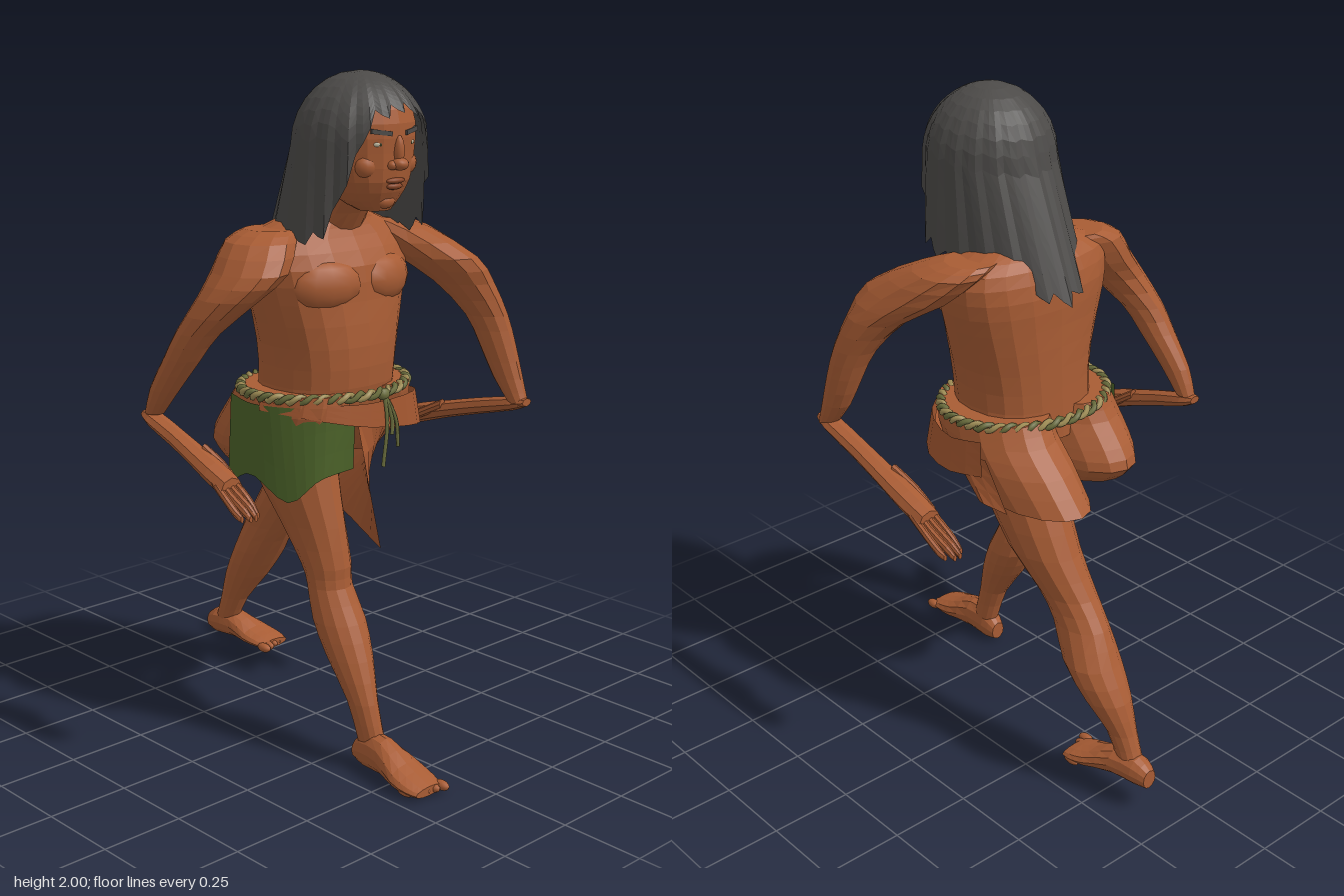
import * as THREE from 'three';

const mat = (name, color, side = THREE.FrontSide) => {
  const m = new THREE.MeshStandardMaterial({ color, side });
  m.name = name;
  return m;
};

export function createModel() {
  const model = new THREE.Group();
  const skin = mat('skin', 0xa85c34);
  const lips = mat('lips', 0x8a4728);
  const hairMat = mat('hair', 0x4c4a48, THREE.DoubleSide);
  const hide = mat('hide cloth', 0xa35730, THREE.DoubleSide);
  const green = mat('green cloth', 0x4c6329, THREE.DoubleSide);
  const rope = mat('rope', 0x6c6f3e);
  const straw = mat('straw', 0xa39158);
  const eyeWhite = mat('eye white', 0xb9b299);
  const iris = mat('iris', 0x34381f);

  const add = (name, geo, material, parent = model) => {
    const mesh = new THREE.Mesh(geo, material);
    mesh.name = name;
    parent.add(mesh);
    return mesh;
  };
  const faceted = (pos, idx) => {
    const g = new THREE.BufferGeometry();
    g.setAttribute('position', new THREE.Float32BufferAttribute(pos, 3));
    g.setIndex(idx);
    const flat = g.toNonIndexed();
    flat.computeVertexNormals();
    return flat;
  };

  // Closed body through elliptical sections [x, y, z, radiusX, radiusOther], along y or z
  const loft = (sections, { axis = 'y', n = 14, pow = 1, sub = 2 } = {}) => {
    const k = axis === 'y' ? 1 : 2;
    const s = sections[0][k] > sections.at(-1)[k] ? [...sections].reverse() : sections;
    const centre = new THREE.CatmullRomCurve3(s.map(p => new THREE.Vector3(p[0], p[1], p[2])), false, 'catmullrom', 0.5);
    const radius = new THREE.CatmullRomCurve3(s.map(p => new THREE.Vector3(p[3], p[4], 0)), false, 'catmullrom', 0.5);
    const rows = (s.length - 1) * sub, pos = [], idx = [];
    const bend = v => Math.sign(v) * Math.abs(v) ** pow;
    for (let i = 0; i <= rows; i++) {
      const c = centre.getPoint(i / rows), r = radius.getPoint(i / rows);
      for (let j = 0; j < n; j++) {
        const a = j / n * Math.PI * 2, co = bend(Math.cos(a)), si = bend(Math.sin(a));
        if (axis === 'y') pos.push(c.x + r.x * si, c.y, c.z + r.y * co);
        else pos.push(c.x + r.x * co, c.y + r.y * si, c.z);
      }
    }
    for (let i = 0; i < rows; i++) for (let j = 0; j < n; j++) {
      const a = i * n + j, b = i * n + (j + 1) % n;
      idx.push(a, b, b + n, a, b + n, a + n);
    }
    const c0 = pos.length / 3, last = rows * n;
    pos.push(...centre.getPoint(0).toArray(), ...centre.getPoint(1).toArray());
    for (let j = 0; j < n; j++) {
      const j2 = (j + 1) % n;
      idx.push(c0, j2, j, c0 + 1, last + j, last + j2);
    }
    return faceted(pos, idx);
  };

  // Open surface from a rule f(u, v) -> [x, y, z]
  const sheet = (f, nu, nv) => {
    const pos = [], idx = [], w = nv + 1;
    for (let i = 0; i <= nu; i++) for (let j = 0; j <= nv; j++) pos.push(...f(i / nu, j / nv));
    for (let i = 0; i < nu; i++) for (let j = 0; j < nv; j++) {
      const a = i * w + j;
      idx.push(a, a + 1, a + w + 1, a, a + w + 1, a + w);
    }
    return faceted(pos, idx);
  };
  // Hanging cloth between a top edge and a bottom edge
  const drape = (top, bottom) => {
    const curve = pts => new THREE.CatmullRomCurve3(pts.map(p => new THREE.Vector3(...p)), false, 'catmullrom', 0.5);
    const a = curve(top), b = curve(bottom);
    return sheet((u, v) => a.getPoint(u).lerp(b.getPoint(u), v).toArray(), 14, 3);
  };
  const ball = (name, [x, y, z], [rx, ry, rz], material, parent = model) => {
    const m = add(name, new THREE.SphereGeometry(1, 12, 8), material, parent);
    m.position.set(x, y, z);
    m.scale.set(rx, ry, rz);
    return m;
  };

  // Torso and neck
  add('torso', loft([[0, 1, .03, .22, .17], [0, 1.1, .045, .2, .18], [0, 1.22, .05, .213, .18], [0, 1.35, .045, .25, .172],
    [0, 1.45, .04, .275, .165], [0, 1.53, .03, .265, .13], [0, 1.575, .04, .17, .1], [0, 1.6, .06, .1, .085]],
    { n: 20, pow: .85 }), skin);
  add('neck', loft([[0, 1.5, .04, .1, .08], [0, 1.6, .1, .085, .085], [0, 1.69, .16, .085, .09]]), skin);
  for (const s of [-1, 1]) {
    const chest = ball('chestMuscle', [s * .115, 1.4, .165], [.115, .075, .055], skin);
    chest.rotation.y = s * .25;
  }

  // Head and face
  const head = new THREE.Group();
  head.name = 'head';
  model.add(head);
  add('skull', loft([[0, 1.615, .24, .045, .045], [0, 1.645, .22, .085, .08], [0, 1.7, .205, .12, .122], [0, 1.78, .2, .137, .135],
    [0, 1.86, .19, .142, .148], [0, 1.93, .18, .12, .13], [0, 1.97, .18, .06, .07]], { n: 18, pow: .9 }), skin, head);
  ball('noseBridge', [0, 1.785, .335], [.016, .045, .018], skin, head);
  ball('noseTip', [0, 1.75, .342], [.026, .018, .024], skin, head);
  ball('upperLip', [0, 1.703, .324], [.036, .009, .013], lips, head);
  ball('lowerLip', [0, 1.687, .32], [.03, .01, .013], lips, head);
  ball('chin', [0, 1.643, .285], [.035, .022, .02], skin, head);
  for (const s of [-1, 1]) {
    ball('nostril', [s * .022, 1.747, .333], [.015, .013, .015], skin, head);
    ball('eyeWhite', [s * .056, 1.806, .314], [.024, .011, .012], eyeWhite, head);
    ball('iris', [s * .055, 1.806, .322], [.01, .01, .006], iris, head);
    const brow = add('brow', new THREE.BoxGeometry(.065, .013, .009), hairMat, head);
    brow.position.set(s * .058, 1.838, .326);
    brow.rotation.set(0, s * .3, s * .14);
    ball('ear', [s * .148, 1.755, .19], [.018, .04, .028], skin, head);
    ball('cheek', [s * .075, 1.745, .285], [.04, .035, .03], skin, head);
  }

  // Long hair with strand ridges, short fringe and jagged ends
  const strands = 60;
  const hairEnd = c => c < .6 ? 1.89 - c * .04
    : c < 1.25 ? THREE.MathUtils.lerp(1.866, 1.55, (c - .6) / .65)
      : THREE.MathUtils.lerp(1.55, 1.42, (c - 1.25) / 1.89);
  add('hair', sheet((u, v) => {
    const a = (u - .5) * Math.PI * 2, k = Math.round(u * strands);
    const end = hairEnd(Math.abs(a)) + [0, .03, .012][k % 3];
    const y = 2 - (2 - end) * v ** 1.7, drop = Math.max(0, 1.8 - y);
    const r = (y > 1.8 ? Math.sqrt(Math.max(0, 1 - ((y - 1.8) / .2) ** 2)) : 1) * (1 + [.025, -.02, .005][k % 3] * v);
    const co = Math.cos(a);
    return [Math.sin(a) * (.19 * r + drop * .05), y, .18 + .195 * co * r - Math.max(0, -co) * drop * .4];
  }, strands, 12), hairMat);

  // Arms: shoulder to wrist, swung forward on the left and back on the right
  add('leftArm', loft([[.455, 1, .41, .028, .03], [.452, 1.08, .365, .04, .05], [.44, 1.18, .33, .052, .06], [.42, 1.27, .3, .062, .07],
    [.37, 1.37, .25, .085, .1], [.31, 1.45, .18, .1, .155], [.25, 1.53, .07, .1, .12], [.2, 1.56, .03, .08, .08]], { n: 12 }), skin);
  add('rightArm', loft([[-.455, 1.02, -.2, .028, .03], [-.455, 1.1, -.15, .04, .05], [-.443, 1.2, -.08, .052, .06], [-.425, 1.28, -.03, .062, .07],
    [-.37, 1.38, .04, .085, .1], [-.31, 1.45, .06, .1, .125], [-.25, 1.53, .04, .1, .11], [-.2, 1.56, .03, .08, .08]], { n: 12 }), skin);

  // Stretched hands, each running from wrist height back along z
  const hand = (name, s, z0, length) => {
    const g = new THREE.Group();
    g.name = name;
    model.add(g);
    const at = (x, y, t, rx, ry) => [s * x, y, z0 + length * t, rx, ry];
    const z = { axis: 'z', n: 8 };
    add('palm', loft([at(.455, 1.012, 0, .02, .012), at(.455, 1, .08, .034, .022), at(.46, .965, .3, .034, .026), at(.465, .93, .5, .038, .028),
      at(.468, .9, .66, .042, .032), at(.468, .872, .8, .038, .03)], z), skin, g);
    for (let i = 0; i < 4; i++) {
      const x = .44 + i * .019, end = 1 - Math.abs(i - 1.5) * .03;
      add('finger', loft([at(x, .885, .72, .011, .014), at(x + .006, .86 - i * .004, .84, .011, .014),
        at(x + .004, .83 - i * .004, end - .04, .01, .014), at(x, .805, end, .006, .01)], z), skin, g);
    }
    add('thumb', loft([at(.44, .95, .5, .012, .016), at(.425, .91, .62, .012, .016), at(.422, .87, .74, .008, .012)], z), skin, g);
  };
  hand('leftHand', 1, .44, -.66);
  hand('rightHand', -1, -.24, .5);

  // Hips, flaring out behind above the thighs
  add('leftHip', loft([[.12, 1.09, .035, .135, .2], [.13, 1.03, .01, .14, .215], [.132, .96, -.05, .14, .23], [.13, .865, -.13, .13, .23]], { n: 16 }), skin);
  add('rightHip', loft([[-.12, 1.09, .035, .135, .2], [-.13, 1.03, .02, .14, .215], [-.132, .96, -.02, .14, .23], [-.13, .9, -.05, .135, .23],
    [-.13, .85, -.04, .115, .19]], { n: 16 }), skin);

  // Legs in a wide stride
  add('rightLeg', loft([[-.135, .08, .385, .035, .045], [-.14, .2, .35, .042, .05], [-.13, .32, .285, .066, .074], [-.125, .42, .235, .077, .08],
    [-.13, .52, .2, .068, .065], [-.13, .58, .185, .072, .078], [-.135, .7, .13, .085, .112], [-.14, .85, .06, .11, .15], [-.13, .95, .03, .12, .17]]), skin);
  add('leftLeg', loft([[.12, .13, -.57, .036, .042], [.12, .22, -.53, .042, .05], [.13, .32, -.475, .07, .075], [.135, .42, -.415, .086, .086],
    [.125, .52, -.355, .071, .095], [.125, .6, -.295, .075, .1], [.14, .72, -.21, .095, .122], [.14, .86, -.13, .11, .14], [.13, .95, -.06, .12, .16]]), skin);

  // Feet and toes
  const foot = (name, sections, toeX, toeY, toeZ, s) => {
    add(name, loft(sections, { axis: 'z', n: 12 }), skin);
    for (let i = 0; i < 5; i++)
      ball('toe', [toeX - s * (i - 2) * -.026, toeY - i * .001, toeZ - i * .011], [.016 - i * .0015, .015 - i * .001, .028], skin);
  };
  foot('rightFoot', [[-.135, .04, .325, .025, .03], [-.137, .055, .37, .04, .055], [-.142, .058, .45, .048, .055], [-.15, .036, .54, .068, .034],
    [-.153, .025, .6, .066, .022], [-.153, .02, .635, .055, .014]], -.153, .02, .632, -1);
  foot('leftFoot', [[.12, .105, -.65, .025, .03], [.12, .115, -.605, .042, .045], [.13, .118, -.53, .048, .045], [.145, .098, -.45, .064, .028],
    [.152, .09, -.4, .064, .02], [.154, .085, -.37, .055, .014]], .154, .085, -.362, 1);

  // Hide skirt: long front flap sweeping back to the left hip, with a folded band above
  add('skirt', drape(
    [[-.08, 1.05, .25], [.06, 1.05, .255], [.16, 1.04, .235], [.25, 1.02, .15], [.285, .99, .03], [.27, 1, -.1]],
    [[-.07, .65, .35], [0, .68, .16], [.05, .71, .03], [.16, .79, -.04], [.295, .875, -.1], [.275, .865, -.2]]), hide);
  add('skirtBand', drape(
    [[-.275, 1.07, .06], [-.2, 1.07, .2], [-.05, 1.06, .262], [.12, 1.06, .256], [.24, 1.05, .18], [.285, 1.03, .05], [.27, 1.05, -.08]],
    [[-.28, 1.045, .06], [-.21, 1.03, .2], [-.06, .995, .268], [.13, .965, .262], [.265, .94, .18], [.305, .93, .04], [.285, .95, -.1]]), hide);

  // Green side cloth
  add('sideCloth', drape(
    [[-.08, 1.06, .253], [-.18, 1.06, .215], [-.255, 1.06, .12], [-.28, 1.06, .02], [-.265, 1.07, -.08]],
    [[-.08, .87, .245], [-.19, .85, .22], [-.25, .78, .15], [-.288, .85, .03], [-.28, .79, -.08]]), green);

  // Braided belt of two twisted strands, with hanging cord ends
  [rope, straw].forEach((material, k) => {
    const pts = [];
    for (let i = 0; i < 180; i++) {
      const a = i / 180 * Math.PI * 2, w = a * 22 + k * Math.PI, r = .009 * Math.cos(w);
      pts.push(new THREE.Vector3(Math.sin(a) * (.268 + r), 1.082 + .009 * Math.sin(w), .035 + Math.cos(a) * (.218 + r)));
    }
    add('beltStrand', new THREE.TubeGeometry(new THREE.CatmullRomCurve3(pts, true), 360, .009, 5, true), material);
  });
  ball('beltKnot', [.025, 1.078, .262], [.022, .018, .015], rope);
  for (const [x, y] of [[0, .87], [.06, .92], [.035, .96]]) {
    const cord = new THREE.CatmullRomCurve3([new THREE.Vector3(.025, 1.08, .265),
      new THREE.Vector3(.02 + x * .6, 1, .283), new THREE.Vector3(x, y, .288)]);
    add('beltCord', new THREE.TubeGeometry(cord, 10, .006, 5), rope);
  }
  return model;
}
